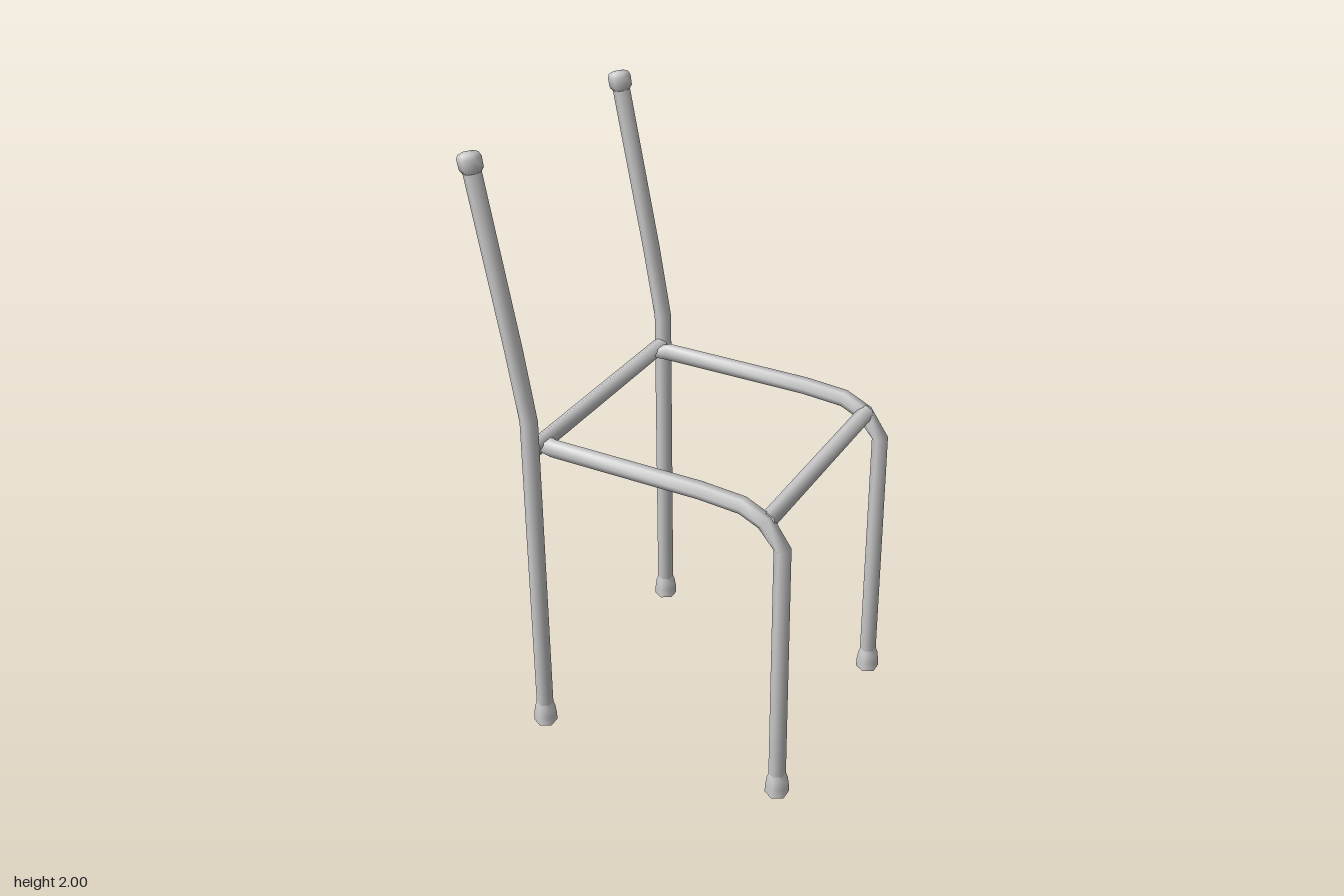
import * as THREE from 'three';
import { toCreasedNormals } from 'three/addons/utils/BufferGeometryUtils.js';

const material = new THREE.MeshStandardMaterial({ color: 0xcccccc });
const SIDES = 6;
const R = 0.028;

function add(parent, name, geometry, x = 0, y = 0, z = 0) {
  const mesh = new THREE.Mesh(geometry, material);
  mesh.name = name;
  mesh.position.set(x, y, z);
  parent.add(mesh);
  return mesh;
}

// Six-sided tube along rings [x, y, halfHeight, halfWidth, zShift] in the xy plane
function bentTube(rings) {
  const pos = [], index = [];
  rings.forEach(([x, y, h = R, w = R, shift = 0], i) => {
    const a = rings[Math.max(i - 1, 0)], b = rings[Math.min(i + 1, rings.length - 1)];
    const len = Math.hypot(b[0] - a[0], b[1] - a[1]);
    const nx = -(b[1] - a[1]) / len, ny = (b[0] - a[0]) / len;
    for (let s = 0; s < SIDES; s++) {
      const t = (s / SIDES) * Math.PI * 2;
      const side = Math.sin(t) * h;
      pos.push(x + nx * side, y + ny * side, Math.cos(t) * w + shift);
      if (i === 0) continue;
      const n = (s + 1) % SIDES, p = (i - 1) * SIDES, q = i * SIDES;
      index.push(p + s, q + s, p + n, p + n, q + s, q + n);
    }
  });
  const g = new THREE.BufferGeometry();
  g.setAttribute('position', new THREE.Float32BufferAttribute(pos, 3));
  // Reverse the winding if the signed volume is negative
  const v = (k) => new THREE.Vector3().fromArray(pos, k * 3);
  let volume = 0;
  for (let k = 0; k < index.length; k += 3) {
    volume += v(index[k]).dot(v(index[k + 1]).cross(v(index[k + 2])));
  }
  if (volume < 0) index.reverse();
  g.setIndex(index);
  g.computeVertexNormals();
  return g;
}

// Six-sided turned cap from [radius, height] pairs, bottom to top
function turned(profile) {
  const points = profile.map(([r, y]) => new THREE.Vector2(r, y));
  return toCreasedNormals(new THREE.LatheGeometry(points, SIDES), 1.2);
}

export function createModel() {
  const chair = new THREE.Group();
  chair.name = 'chairFrame';

  const foot = turned([[0, 0], [0.039, 0], [0.038, 0.03], [0.034, 0.06], [0.027, 0.08]]);
  const tip = turned([[0.027, 0], [0.036, 0.012], [0.037, 0.045], [0.031, 0.058], [0, 0.06]]);
  const post = bentTube([[-0.347, 0.01], [-0.347, 1.16], [-0.388, 1.4], [-0.497, 1.965]]);

  for (const s of [1, -1]) {
    // Back post with foot and end cap
    const back = new THREE.Group();
    back.name = 'backPost';
    back.position.z = s * 0.418;
    add(back, 'backPostTube', post);
    add(back, 'backFoot', foot, -0.347, 0, 0);
    add(back, 'backPostTip', tip, -0.491, 1.935, 0).rotation.z = 0.18;
    chair.add(back);

    // Seat rail that flares into the rear bar and curves down into the front leg
    const front = new THREE.Group();
    front.name = 'railAndFrontLeg';
    front.position.z = s * 0.368;
    add(front, 'railTube', bentTube([
      [-0.335, 1.055, 0.014, 0.046, -s * 0.014],
      [-0.298, 1.055],
      [0.215, 1.055],
      [0.357, 1.045],
      [0.432, 1.01],
      [0.49, 0.932, 0.026],
      [0.497, 0.01],
    ]));
    add(front, 'frontFoot', foot, 0.497, 0, 0);
    chair.add(front);
  }

  // Cross bars
  const bar = (name, length, x, y, r) => {
    const g = new THREE.CylinderGeometry(r, r, length, SIDES).rotateX(Math.PI / 2);
    add(chair, name, toCreasedNormals(g, 1.2), x, y, 0);
  };
  bar('rearBar', 0.8, -0.347, 1.055, 0.028);
  bar('frontBar', 0.73, 0.437, 1.013, 0.027);

  return chair;
}
